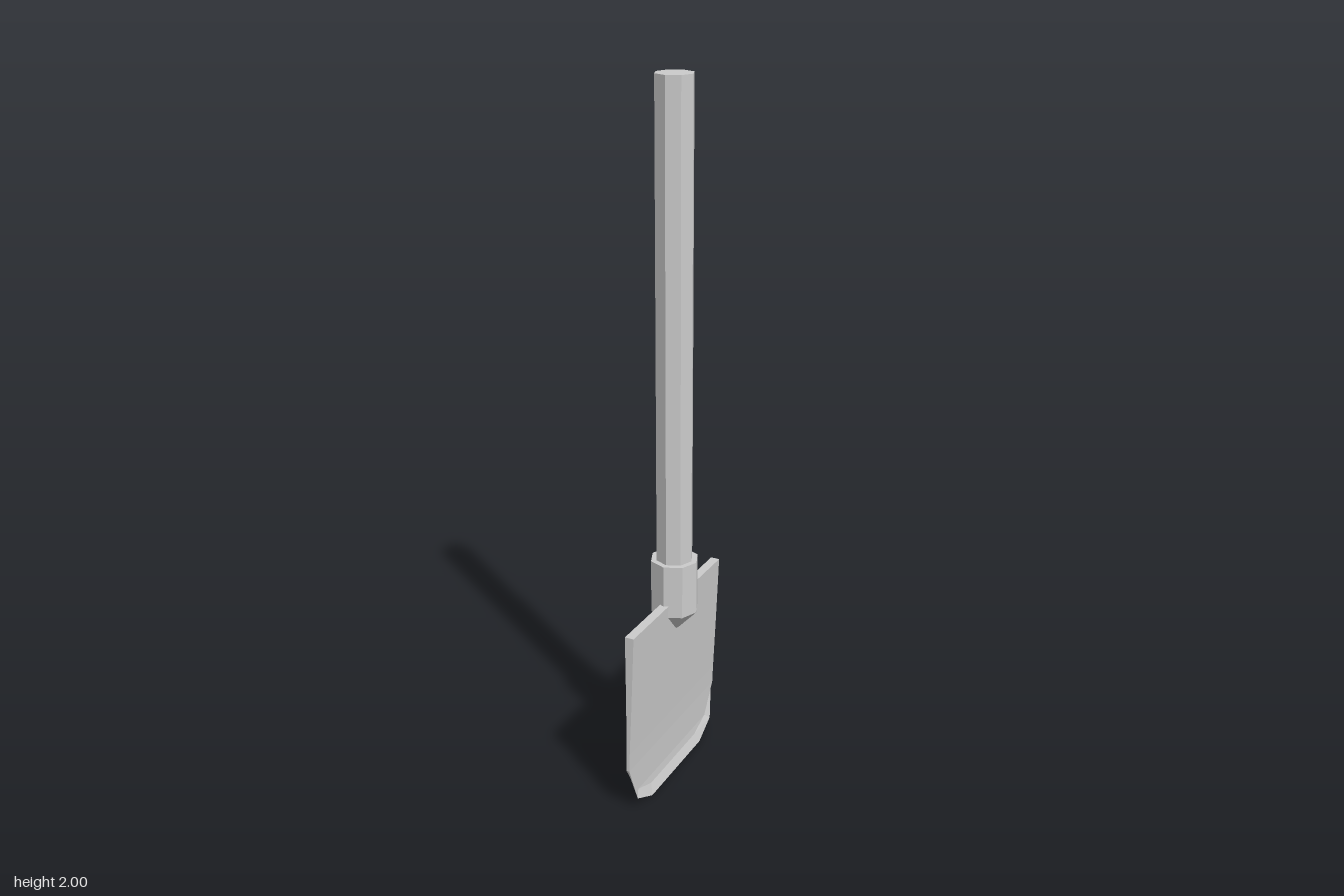
import * as THREE from 'three';

const material = new THREE.MeshStandardMaterial({ color: 0xcccccc, flatShading: true });

function addMesh(group, name, geometry, y = 0) {
  const mesh = new THREE.Mesh(geometry, material);
  mesh.name = name;
  mesh.position.y = y;
  group.add(mesh);
}

// Eight-sided upright piece between two heights
function octagon(group, name, topRadius, bottomRadius, y0, y1) {
  addMesh(group, name, new THREE.CylinderGeometry(topRadius, bottomRadius, y1 - y0, 8), (y0 + y1) / 2);
}

function bladeGeometry() {
  // Cross-sections: height, half width, x of the right face, x of the left face
  const rows = [
    [0.565, 0.268, 0.013, -0.013],
    [0.35, 0.268, 0.004, -0.012],
    [0.2, 0.268, -0.003, -0.013],
    [0.145, 0.268, -0.005, -0.014],
    [0.055, 0.215, -0.006, -0.014],
    [0.03, 0.14, -0.004, -0.013],
  ];
  // Cutting edge around the lower corners: height, half width, x
  const edge = [[0.145, 0.268, -0.0095], [0.038, 0.235, 0.003], [0, 0.155, 0.007]];

  const positions = [];
  const quad = (a, b, c, d) => positions.push(...a, ...b, ...c, ...a, ...c, ...d);
  const right = rows.map(([y, w, x]) => [[x, y, w], [x, y, -w]]);
  const left = rows.map(([y, w, , x]) => [[x, y, w], [x, y, -w]]);

  // Broad faces
  for (let i = 0; i < rows.length - 1; i++) {
    const [r0, r1, l0, l1] = [right[i], right[i + 1], left[i], left[i + 1]];
    quad(r0[0], r1[0], r1[1], r0[1]);
    quad(l0[1], l1[1], l1[0], l0[0]);
    // Straight side walls
    if (i < 3) {
      quad(r0[0], l0[0], l1[0], r1[0]);
      quad(r0[1], r1[1], l1[1], l0[1]);
    }
  }
  // Top wall
  quad(right[0][0], right[0][1], left[0][1], left[0][0]);

  // Sharpened rim, running from one side under the blade to the other
  const around = (pairs) => [...pairs.map((p) => p[0]), ...pairs.map((p) => p[1]).reverse()];
  const tip = around(edge.map(([y, w, x]) => [[x, y, w], [x, y, -w]]));
  const innerRight = around(right.slice(3));
  const innerLeft = around(left.slice(3));
  for (let i = 0; i < tip.length - 1; i++) {
    quad(innerRight[i], tip[i], tip[i + 1], innerRight[i + 1]);
    quad(innerLeft[i + 1], tip[i + 1], tip[i], innerLeft[i]);
  }

  const geometry = new THREE.BufferGeometry();
  geometry.setAttribute('position', new THREE.Float32BufferAttribute(positions, 3));
  geometry.computeVertexNormals();
  return geometry;
}

export function createModel() {
  const shovel = new THREE.Group();
  shovel.name = 'shovel';
  octagon(shovel, 'handle', 0.052, 0.052, 0.6, 2);
  octagon(shovel, 'collar', 0.068, 0.068, 0.53, 0.685);
  octagon(shovel, 'collarTip', 0.068, 0.012, 0.47, 0.53);
  addMesh(shovel, 'blade', bladeGeometry());
  return shovel;
}
